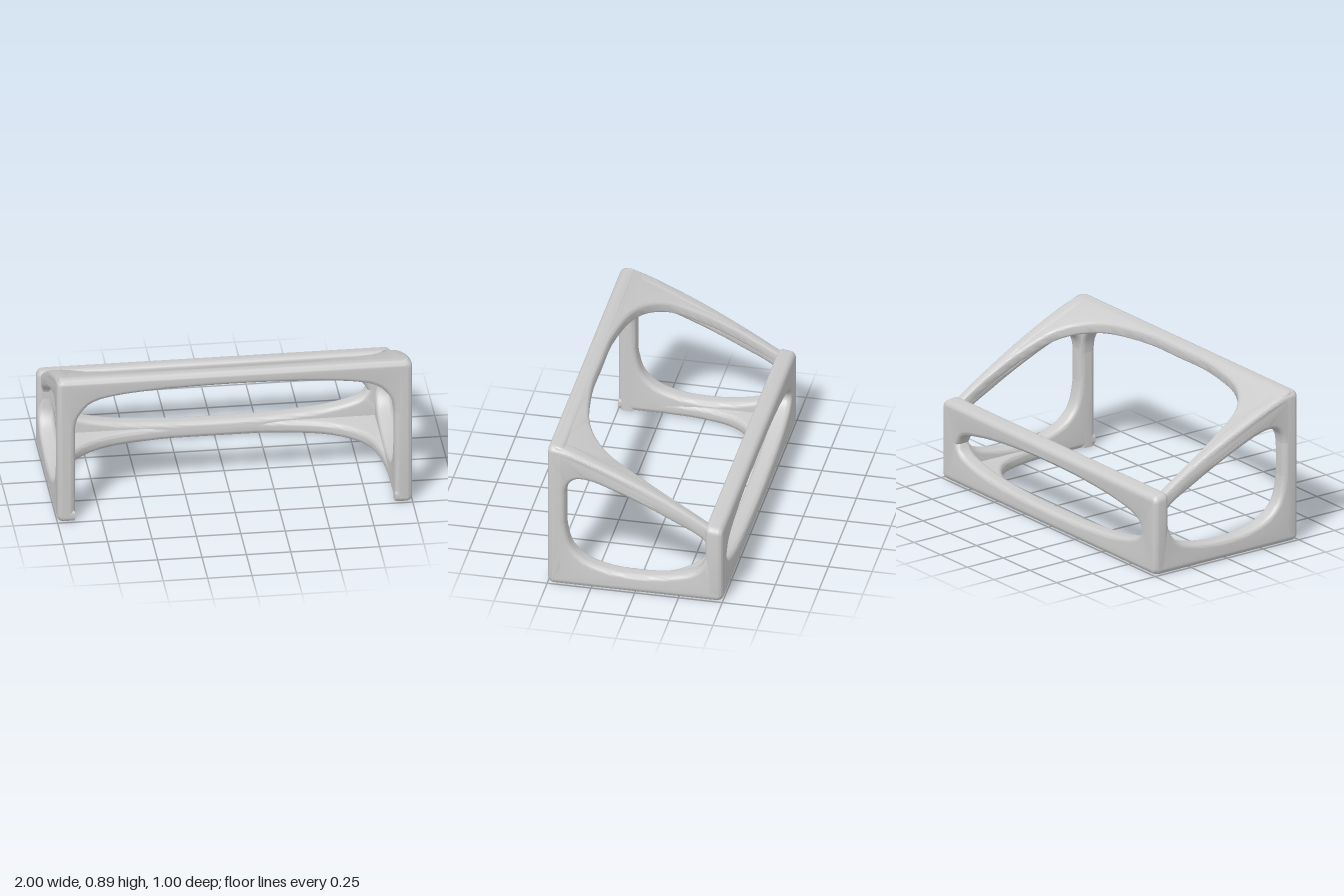
import * as THREE from 'three';
import { toCreasedNormals } from 'three/addons/utils/BufferGeometryUtils.js';

const v2 = ([x, y]) => new THREE.Vector2(x, y);
const smooth = THREE.MathUtils.smoothstep;

// Height of the gently bowed sloping top
const slope = z => Math.min(0.89, 0.7 + 0.5 * z - 0.16 * z * z);

// Open polyline with its inner corners rounded to near-circular arcs
function rounded(list, r = 0.04) {
  const p = list.map(v2), out = [p[0]];
  for (let i = 1; i < p.length - 1; i++) {
    const toward = q => p[i].clone().lerp(q, Math.min(0.4, r / q.distanceTo(p[i])));
    const a = toward(p[i - 1]), b = toward(p[i + 1]);
    out.push(...new THREE.CubicBezierCurve(
      a, a.clone().lerp(p[i], 0.55), b.clone().lerp(p[i], 0.55), b).getPoints(5));
  }
  out.push(p[p.length - 1]);
  return out;
}

const spline = (list, n) => new THREE.SplineCurve(list.map(v2)).getPoints(n);

// Closed, smooth opening
const opening = list => spline([...list, list[0]], 80).slice(0, -1);

// U-shaped outline: outer polyline plus a mirrored inner curve
function uShape(outer, innerHalf) {
  const mirrored = innerHalf.slice(0, -1).reverse().map(([x, y]) => [-x, y]);
  const inner = spline([...innerHalf, ...mirrored], 80).reverse();
  return [...rounded(outer), ...inner.slice(1, -1)];
}

// Soft-edged plate, centred on its own thickness
function plate(outline, hole, thickness, bevel = 0.028) {
  const shape = new THREE.Shape(outline);
  if (hole) shape.holes.push(new THREE.Path(hole));
  const geo = new THREE.ExtrudeGeometry(shape, {
    depth: thickness - 2 * bevel, bevelThickness: bevel, bevelSize: bevel,
    bevelOffset: -bevel, bevelSegments: 5,
  });
  return geo.translate(0, 0, bevel - thickness / 2);
}

function moveVertices(geo, rule) {
  const p = geo.attributes.position, v = new THREE.Vector3();
  for (let i = 0; i < p.count; i++) {
    rule(v.fromBufferAttribute(p, i));
    p.setXYZ(i, v.x, v.y, v.z);
  }
  return geo;
}

export function createModel() {
  const group = new THREE.Group();
  const material = new THREE.MeshStandardMaterial({ color: 0xcccccc });
  const add = (name, geo) => {
    const mesh = new THREE.Mesh(toCreasedNormals(geo, 0.7), material);
    mesh.name = name;
    group.add(mesh);
  };

  // Front arch: two legs and the upper rail, whose top follows the slope
  const front = uShape(
    [[0.9, 0], [1, 0], [1, 0.89], [-1, 0.89], [-1, 0], [-0.9, 0]],
    [[0.9, 0], [0.9, 0.3], [0.9, 0.57], [0.865, 0.68], [0.78, 0.75], [0.6, 0.785], [0.3, 0.803], [0, 0.808]]);
  const frontGeo = plate(front, null, 0.1).translate(0, 0, 0.45);
  add('frontArch', moveVertices(frontGeo, v => { if (v.y > 0.845) v.y += slope(v.z) - 0.89; }));

  // Back ring with a long oval opening, its top leaning slightly back
  const backOuter = rounded([[0, 0], [1, 0], [1, 0.47], [-1, 0.47], [-1, 0], [-0.1, 0]]);
  const backHole = opening([
    [0.86, 0.235], [0.8, 0.3], [0.6, 0.342], [0.3, 0.368], [0, 0.375], [-0.3, 0.368], [-0.6, 0.342], [-0.8, 0.3],
    [-0.86, 0.235], [-0.8, 0.175], [-0.6, 0.127], [-0.3, 0.103], [0, 0.097], [0.3, 0.103], [0.6, 0.127], [0.8, 0.175]]);
  const back = plate(backOuter, backHole, 0.1);
  moveVertices(back, v => { if (v.y > 0.4) v.y += 0.15 * v.z; });
  add('backRing', back.translate(0, 0, -0.45));

  // Side rings, drawn in z and y; the sloping bar narrows toward the back
  const steps = Array.from({ length: 14 }, (_, i) => 0.38 - i * 0.0634);
  const sideOuter = rounded([
    [0, 0], [0.5, 0], [0.5, 0.89], ...steps.map(z => [z, slope(z)]), [-0.49, 0.38], [-0.5, 0], [-0.1, 0]]);
  const sideHole = opening([
    [0.404, 0.45], [0.404, 0.55], [0.39, 0.635], [0.355, 0.68], [0.3, 0.692], [0.2, 0.668], [0, 0.583],
    [-0.2, 0.483], [-0.385, 0.378], [-0.395, 0.28], [-0.37, 0.205], [-0.3, 0.152], [-0.15, 0.119],
    [0, 0.11], [0.15, 0.122], [0.28, 0.165], [0.36, 0.24], [0.393, 0.34]]);
  for (const [name, s] of [['leftSide', 1], ['rightSide', -1]]) {
    const side = plate(sideOuter, sideHole, 0.1).rotateY(-Math.PI / 2);
    moveVertices(side, v => {
      v.x *= 1 - 0.4 * smooth(-v.z, -0.4, 0.39) * smooth(v.y, 0.2, 0.36);
    });
    add(name, side.translate(s * 0.95, 0, 0));
  }

  // Base webbing, open at the front
  const base = uShape(
    [[0.9, 0.5], [1, 0.5], [1, -0.5], [-1, -0.5], [-1, 0.5], [-0.9, 0.5]].reverse(),
    [[-0.9, 0.5], [-0.9, 0.25], [-0.88, 0], [-0.81, -0.2], [-0.62, -0.335], [-0.3, -0.395], [0, -0.405]]);
  add('baseWeb', plate(base, null, 0.08).rotateX(Math.PI / 2).translate(0, 0.04, 0));

  // Sloping top webbing, open at the back
  const edge = steps.map(z => [0.99 - 0.02 * smooth(-z, -0.4, 0.39), z]).reverse();
  const top = uShape(
    [[0.92, -0.444], ...edge, [0.99, 0.485], [-0.99, 0.485], ...edge.map(([x, z]) => [-x, z]).reverse(), [-0.92, -0.444]],
    [[0.92, -0.444], [0.91, -0.2], [0.88, 0], [0.81, 0.2], [0.62, 0.335], [0.3, 0.395], [0, 0.4]]);
  const topGeo = plate(top, null, 0.07, 0.018).rotateX(Math.PI / 2);
  add('topWeb', moveVertices(topGeo, v => { v.y += slope(v.z) - 0.035; }));

  return group;
}
